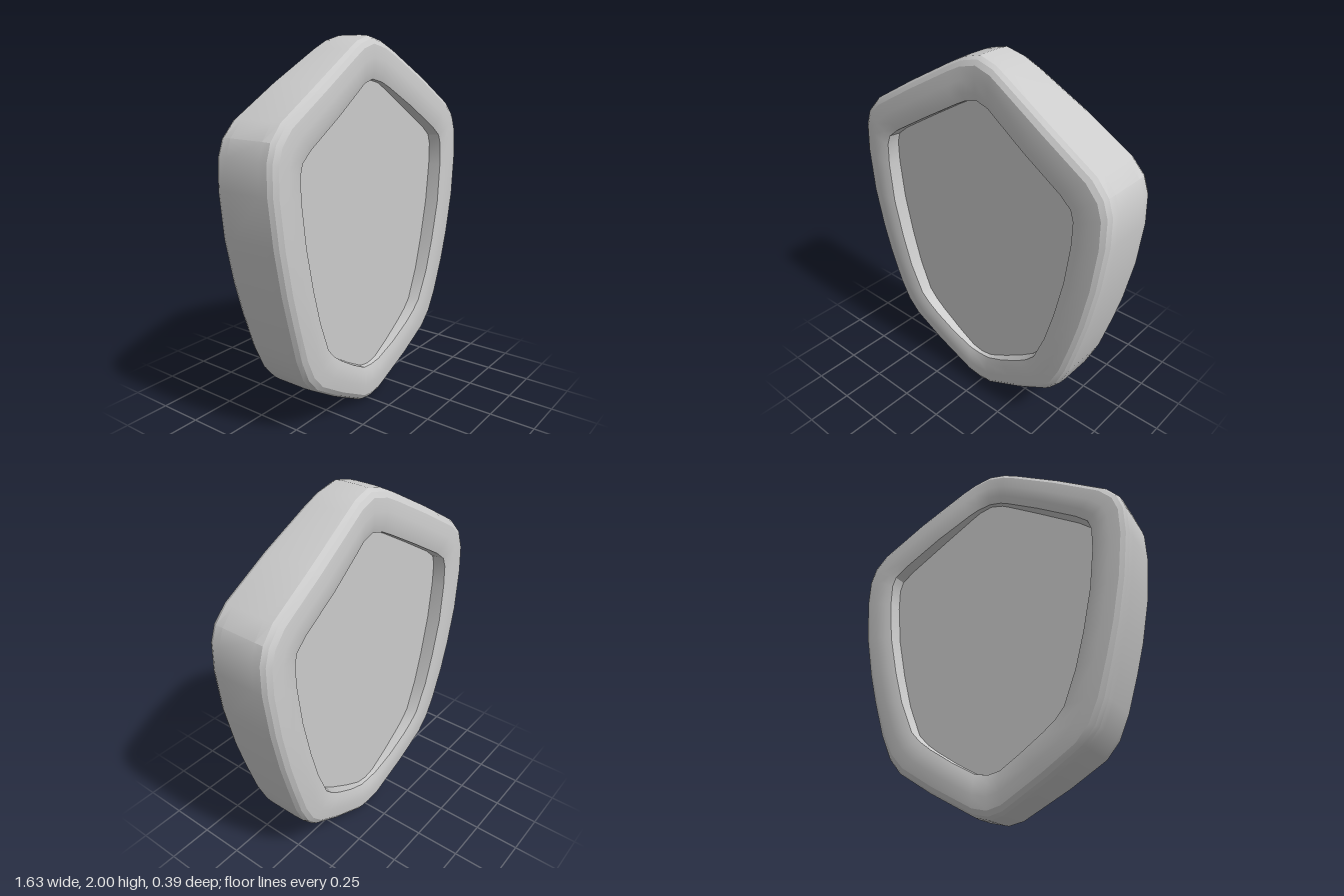
import * as THREE from 'three';
import { toCreasedNormals } from 'three/addons/utils/BufferGeometryUtils.js';

// Right half of the shield, top to bottom: outer x, y, inner x, y, half thickness
const HALF = [
  [0, 2, 0, 1.785, 0.138],
  [0.10, 1.975, 0.075, 1.767, 0.144],
  [0.18, 1.935, 0.13, 1.738, 0.153],
  [0.45, 1.785, 0.32, 1.628, 0.174],
  [0.71, 1.632, 0.54, 1.497, 0.182],
  [0.78, 1.555, 0.605, 1.445, 0.186],
  [0.81, 1.47, 0.624, 1.39, 0.188],
  [0.815, 1.32, 0.624, 1.27, 0.191],
  [0.79, 1.08, 0.60, 1.05, 0.195],
  [0.745, 0.85, 0.552, 0.83, 0.193],
  [0.703, 0.69, 0.50, 0.645, 0.19],
  [0.645, 0.49, 0.43, 0.475, 0.182],
  [0.59, 0.36, 0.38, 0.42, 0.177],
  [0.52, 0.275, 0.315, 0.37, 0.173],
  [0.33, 0.155, 0.19, 0.29, 0.162],
  [0.08, 0.018, 0.07, 0.224, 0.144],
  [0, 0, 0, 0.212, 0.138],
];
// Full outline: the half plus its mirror image, without repeating the tips
const OUTLINE = [
  ...HALF,
  ...HALF.slice(1, -1).reverse().map(([ox, oy, ix, iy, t]) => [-ox, oy, -ix, iy, t]),
];

const PANEL_Z = 0.103;

// Rim section from inner edge (0) to outer edge (1), with the drop below the crest
const SECTION = [
  [0, 0.015], [0.2, 0.003], [0.5, 0], [0.8, 0.006],
  [0.92, 0.022], [0.985, 0.045], [1, 0.09],
];

function rimGeometry() {
  const positions = [];
  const index = [];
  const count = SECTION.length * 2 + 2;
  for (const [ox, oy, ix, iy, t] of OUTLINE) {
    const front = [[-0.03, PANEL_Z - 0.01], ...SECTION.map(([f, drop]) => [f, t - drop])];
    const loop = [...front, ...front.map(([f, z]) => [f, -z]).reverse()];
    for (const [f, z] of loop) {
      positions.push(ix + (ox - ix) * f, iy + (oy - iy) * f, z);
    }
  }
  for (let i = 0; i < OUTLINE.length; i++) {
    const next = (i + 1) % OUTLINE.length;
    for (let j = 0; j < count; j++) {
      const k = (j + 1) % count;
      const a = i * count + j, b = i * count + k;
      const c = next * count + j, d = next * count + k;
      index.push(a, c, b, b, c, d);
    }
  }
  const geometry = new THREE.BufferGeometry();
  geometry.setAttribute('position', new THREE.Float32BufferAttribute(positions, 3));
  geometry.setIndex(index);
  return toCreasedNormals(geometry, 0.4);
}

export function createModel() {
  const group = new THREE.Group();
  group.name = 'shield';
  const material = new THREE.MeshStandardMaterial({ color: 0xcccccc });

  // Thick rounded rim, thinner at the top and bottom tips
  const rim = new THREE.Mesh(rimGeometry(), material);
  rim.name = 'rim';
  group.add(rim);

  // Flat panel recessed on both faces
  const shape = new THREE.Shape(OUTLINE.map(([, , ix, iy]) => new THREE.Vector2(ix, iy)));
  const panelGeometry = new THREE.ExtrudeGeometry(shape, { depth: PANEL_Z * 2, bevelEnabled: false });
  panelGeometry.translate(0, 0, -PANEL_Z);
  const panel = new THREE.Mesh(panelGeometry, material);
  panel.name = 'panel';
  group.add(panel);

  return group;
}
